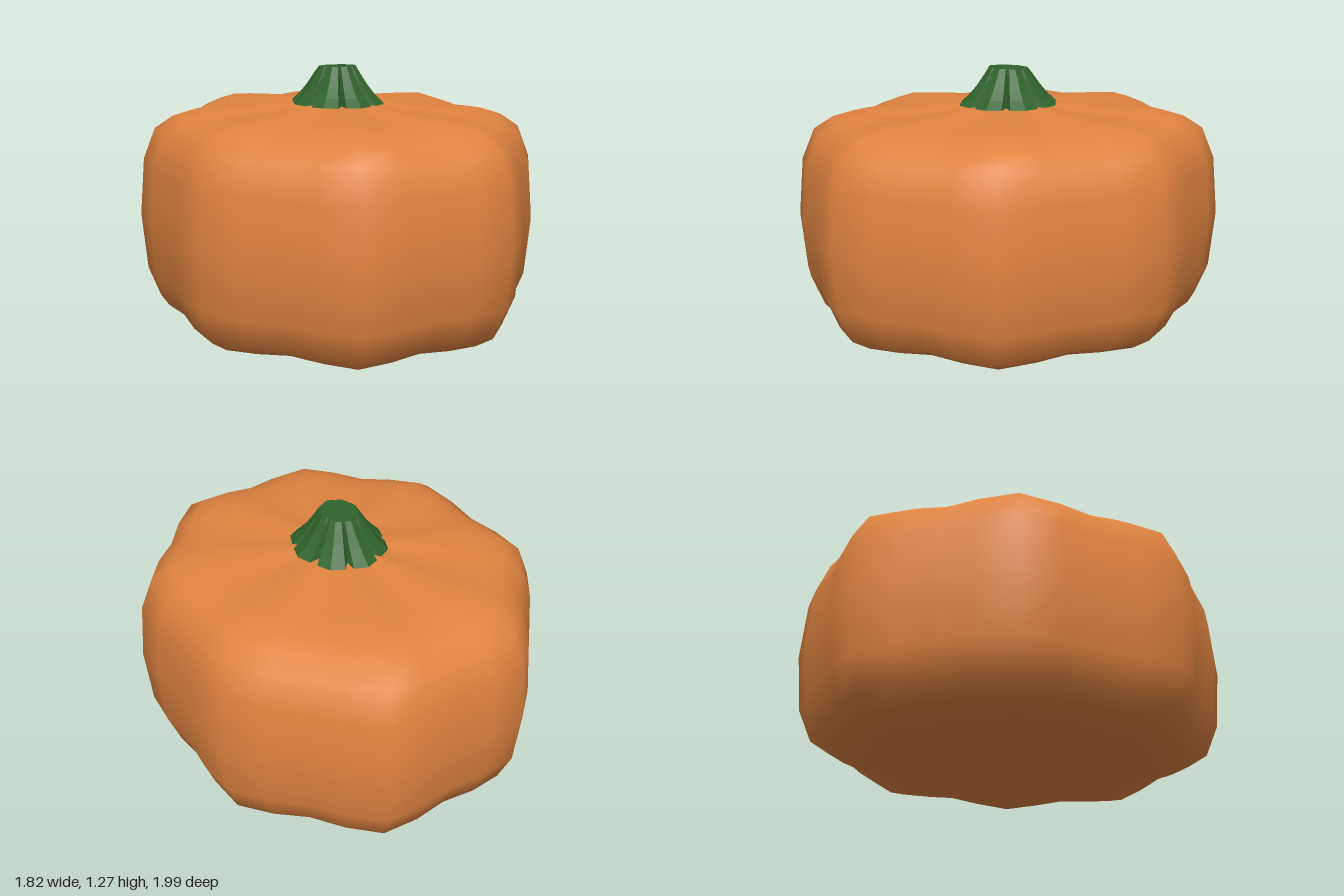
import * as THREE from 'three';
import { mergeVertices } from 'three/addons/utils/BufferGeometryUtils.js';

// Skin stacked rings, listed bottom to top; point(row, k) gives [x, y, z].
// The first and last rows are closed to a single centre point.
function skinRings(rows, sides, point) {
  const positions = [], index = [];
  rows.forEach((row) => {
    for (let k = 0; k < sides; k++) positions.push(...point(row, k));
  });
  for (let i = 0; i < rows.length - 1; i++) {
    for (let k = 0; k < sides; k++) {
      const a = i * sides + k, b = i * sides + ((k + 1) % sides);
      const c = b + sides, d = a + sides;
      if (i > 0) index.push(a, b, c);
      if (i === 0) index.push(a, c, d);
      else if (i < rows.length - 2) index.push(a, c, d);
    }
  }
  const geometry = new THREE.BufferGeometry();
  geometry.setAttribute('position', new THREE.Float32BufferAttribute(positions, 3));
  geometry.setIndex(index);
  const merged = mergeVertices(geometry, 1e-5);
  merged.computeVertexNormals();
  return merged;
}

const WIDTH = 0.912; // the whole fruit is slightly narrower in x than in z

// Eight soft lobes: valley, shoulder, ridge, shoulder
function pumpkinBody() {
  const sides = 32, midY = 0.54;
  const lobe = [0.985, 1.02, 1.06, 1.02];
  const rows = [
    [0, 0.03], [0.22, 0.02], [0.45, 0.005], [0.6, 0.005], [0.72, 0.02], [0.82, 0.05],
    [0.91, 0.11], [0.97, 0.26], [0.995, 0.54], [0.97, 0.82], [0.91, 0.97],
    [0.82, 1.03], [0.72, 1.06], [0.6, 1.075], [0.45, 1.082], [0.22, 1.098], [0, 1.1],
  ];
  return skinRings(rows, sides, ([r, y], k) => {
    const angle = (k / sides) * Math.PI * 2;
    const m = lobe[k % 4];
    // valleys also sink into the top and underside, fading at the centre
    const sink = 1 - 0.55 * (1.06 - m) * Math.min(1, r / 0.4);
    return [
      Math.sin(angle) * r * m * WIDTH,
      midY + (y - midY) * sink,
      Math.cos(angle) * r * m,
    ];
  });
}

// Flared stem with eight ribs and narrow grooves, cut slightly on a slant
function stemGeometry() {
  const sides = 32;
  const rows = [ // radius, height, groove depth
    [0, 1.07, 0], [0.25, 1.095, 0.2], [0.205, 1.135, 0.2], [0.165, 1.18, 0.17],
    [0.125, 1.235, 0.12], [0.1, 1.27, 0.04], [0, 1.27, 0],
  ];
  const octagon = [1, 0.945, 0.924, 0.945]; // straight faces between ribs
  return skinRings(rows, sides, ([r, y, depth], k) => {
    // squeeze the vertices around each groove to keep it narrow
    const step = k % 4;
    const shift = step === 1 ? 0.55 : step === 3 ? -0.55 : 0;
    const angle = ((k + shift) / sides) * Math.PI * 2;
    const radius = r * octagon[step] * (step === 2 ? 1 - depth : 1);
    const z = Math.cos(angle) * radius;
    const slant = y > 1.25 ? z * 0.05 : 0;
    return [Math.sin(angle) * radius * WIDTH, y + slant, z];
  });
}

export function createModel() {
  const group = new THREE.Group();
  group.name = 'pumpkin';

  const body = new THREE.Mesh(
    pumpkinBody(),
    new THREE.MeshStandardMaterial({ color: 0xe08440 }),
  );
  body.name = 'body';

  const stem = new THREE.Mesh(
    stemGeometry(),
    new THREE.MeshStandardMaterial({ color: 0x2f632b, flatShading: true }),
  );
  stem.name = 'stem';

  group.add(body, stem);
  return group;
}
